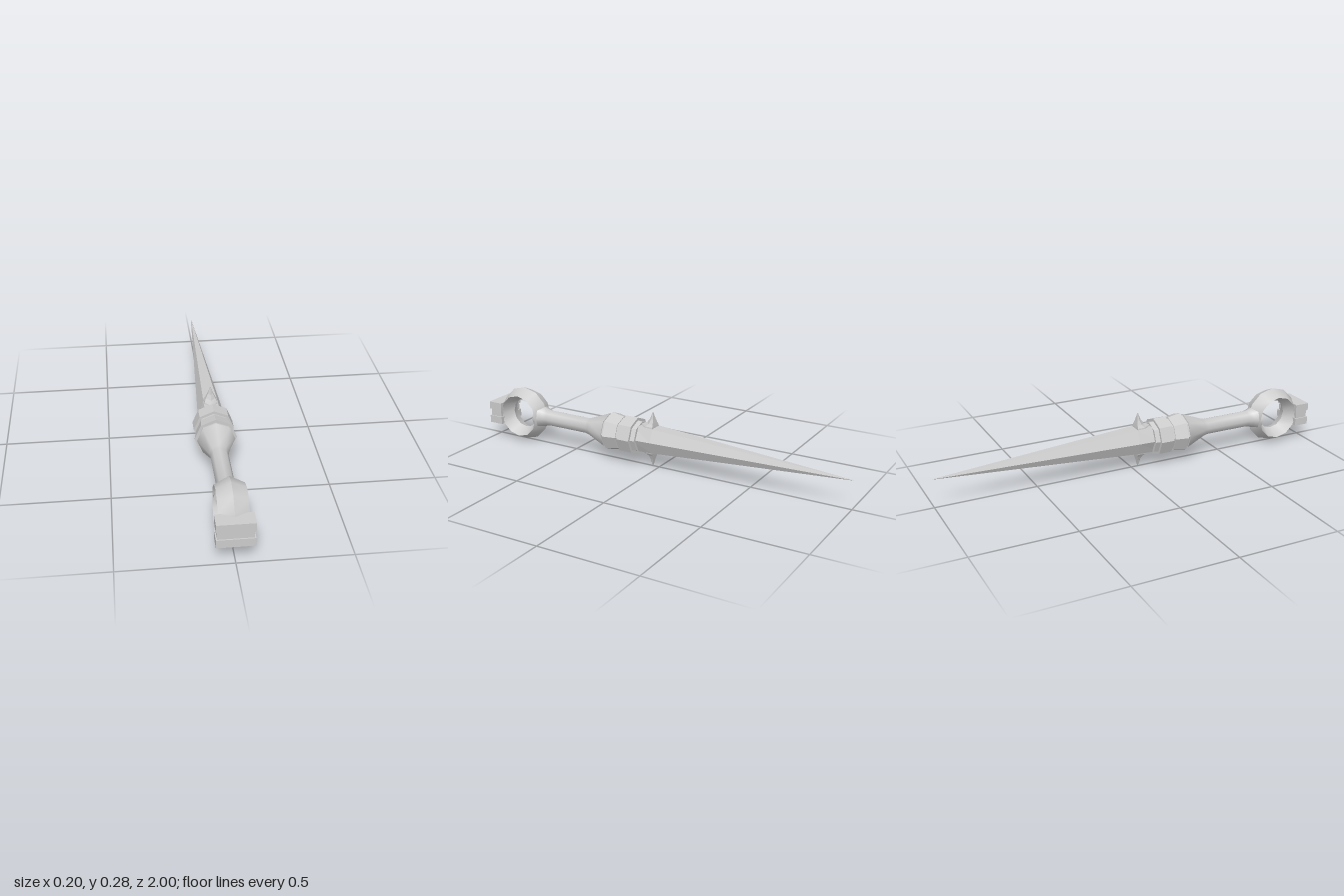
import * as THREE from 'three';
import { toCreasedNormals } from 'three/addons/utils/BufferGeometryUtils.js';

const smooth = new THREE.MeshStandardMaterial({ color: 0xcccccc });
const flat = new THREE.MeshStandardMaterial({ color: 0xcccccc, flatShading: true });

function add(parent, name, geometry, material = flat) {
  const mesh = new THREE.Mesh(geometry, material);
  mesh.name = name;
  parent.add(mesh);
  return mesh;
}

// Skin between [z, outline] sections, ordered from high z to low z, with end caps
function loft(sections) {
  const n = sections[0][1].length;
  const pos = sections.flatMap(([z, pts]) => pts.flatMap(([x, y]) => [x, y, z]));
  const idx = [];
  const last = (sections.length - 1) * n;
  for (let s = 0; s < last; s += n) {
    for (let j = 0; j < n; j++) {
      const a = s + j, b = s + (j + 1) % n;
      idx.push(a, a + n, b, a + n, b + n, b);
    }
  }
  for (let j = 1; j < n - 1; j++) {
    idx.push(0, j, j + 1, last, last + j + 1, last + j);
  }
  const g = new THREE.BufferGeometry();
  g.setAttribute('position', new THREE.Float32BufferAttribute(pos, 3));
  g.setIndex(idx);
  g.computeVertexNormals();
  return g;
}

// Eight-sided outline
const octagon = (rx, ry = rx) => Array.from({ length: 8 }, (_, i) => {
  const a = i * Math.PI / 4;
  return [rx * Math.cos(a), ry * Math.sin(a)];
});

// Blade outline: edges at the sides, narrow flats above and below
const bladeOutline = (w, f, h) => [[w, 0], [f, h], [-f, h], [-w, 0], [-f, -h], [f, -h]];

export function createModel() {
  const model = new THREE.Group();
  model.name = 'dagger';
  const body = new THREE.Group();
  body.name = 'body';
  body.position.y = 0.153;
  model.add(body);

  // Blade
  add(body, 'blade', loft([
    [0.13, bladeOutline(0.068, 0.036, 0.066)],
    [0.02, bladeOutline(0.062, 0.034, 0.063)],
    [-1, bladeOutline(0.001, 0.0005, 0.001)],
  ]));

  // Curved spikes above and below the blade root
  const spikeOutline = (w, front, back) =>
    [[0, -back], [w, -(front + back) / 2], [w, -front], [-w, -front], [-w, -(front + back) / 2]];
  const spikeGeometry = loft([
    [0.141, spikeOutline(0.001, 0.034, 0.037)],
    [0.105, spikeOutline(0.013, 0.028, 0.051)],
    [0.083, spikeOutline(0.023, 0.024, 0.069)],
    [0.07, spikeOutline(0.031, 0.022, 0.1)],
    [0.055, spikeOutline(0.034, 0.021, 0.115)],
  ]).rotateX(-Math.PI / 2);
  for (const [name, turn] of [['upperSpike', 0], ['lowerSpike', Math.PI]]) {
    add(body, name, spikeGeometry).rotation.z = turn;
  }

  // Guard: stacked octagonal collars
  const collars = [
    ['bladeCollar', 0.125, 0.082, 0.098, 0.079],
    ['frontCollar', 0.19, 0.096, 0.122, 0.096],
    ['collarGroove', 0.215, 0.083, 0.185, 0.083],
    ['rearCollar', 0.272, 0.1, 0.205, 0.087],
    ['gripCollar', 0.295, 0.085, 0.268, 0.085],
  ];
  for (const [name, z0, r0, z1, r1] of collars) {
    add(body, name, loft([[z0, octagon(r0)], [z1, octagon(r1)]]));
  }

  // Grip: flared at the guard, spread where it meets the ring
  add(body, 'grip', toCreasedNormals(loft([
    [0.735, octagon(0.064, 0.066)],
    [0.715, octagon(0.062, 0.06)],
    [0.69, octagon(0.048, 0.05)],
    [0.665, octagon(0.042, 0.043)],
    [0.42, octagon(0.042)],
    [0.4, octagon(0.046)],
    [0.288, octagon(0.09)],
  ]), 0.9), smooth);

  // Ring: diamond section turned around the x axis
  const ringProfile = [[0.077, 0], [0.11, -0.066], [0.142, 0], [0.11, 0.066], [0.077, 0]]
    .map(([r, h]) => new THREE.Vector2(r, h));
  const ringGeometry = toCreasedNormals(new THREE.LatheGeometry(ringProfile, 12), 0.7);
  const ring = add(body, 'ring', ringGeometry.rotateZ(Math.PI / 2), smooth);
  ring.position.z = 0.825;

  // Grooved end block
  for (const [name, y, w, h, d] of [
    ['upperBlock', 0.038, 0.166, 0.039, 0.075],
    ['middleBlock', 0, 0.154, 0.042, 0.063],
    ['lowerBlock', -0.038, 0.166, 0.039, 0.075],
  ]) {
    add(body, name, new THREE.BoxGeometry(w, h, d)).position.set(0, y, 0.9625);
  }

  return model;
}
